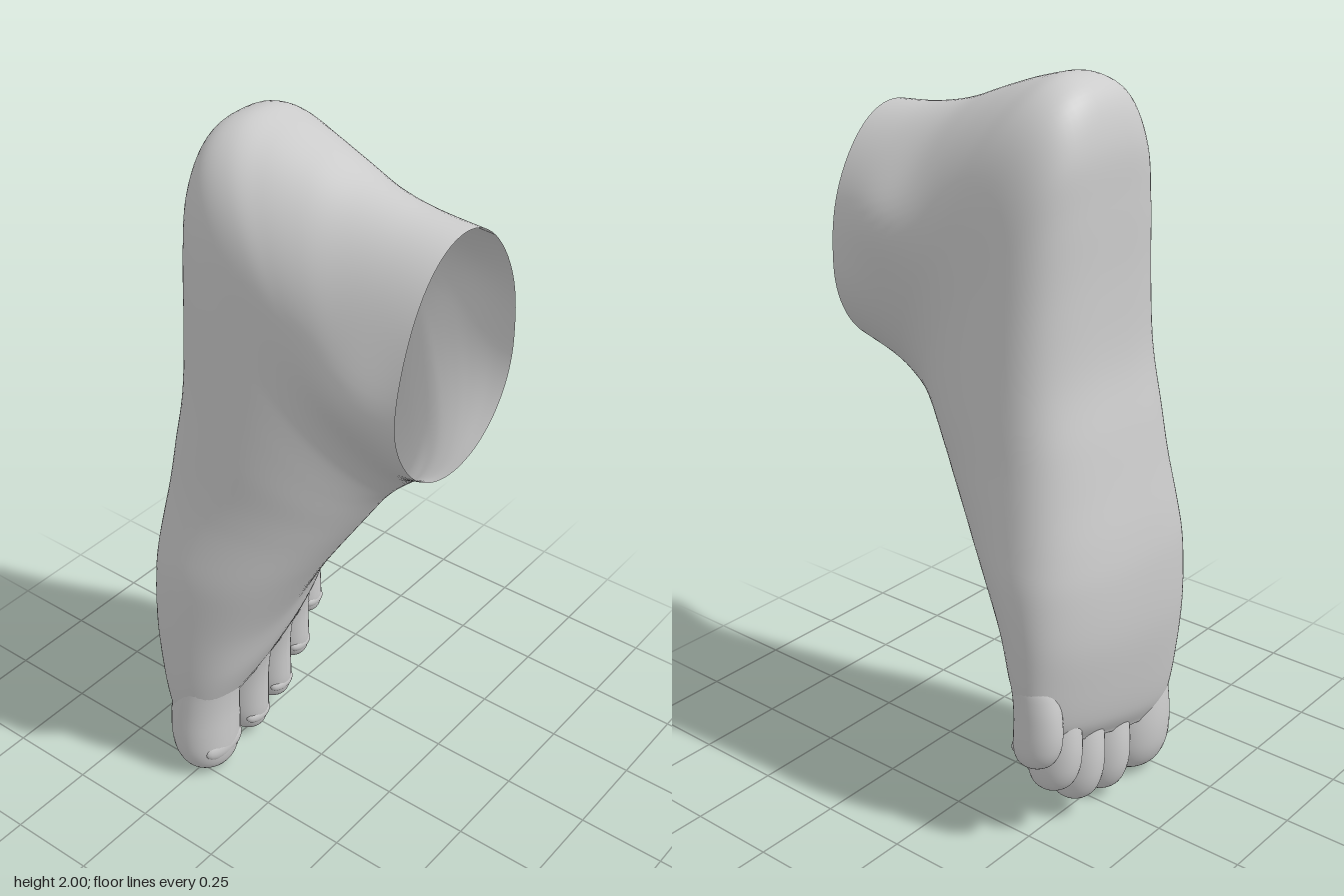
import * as THREE from 'three';

const skin = new THREE.MeshStandardMaterial({ color: 0xcccccc, side: THREE.DoubleSide });

// Section ends from toe roots to ankle opening: instep y, z and sole/heel y, z
const PROFILE = [
  [0.33, -0.175, 0.25, -0.335], [0.38, -0.145, 0.31, -0.365], [0.47, -0.10, 0.43, -0.39],
  [0.60, -0.05, 0.58, -0.41], [0.74, 0.025, 0.74, -0.412], [0.84, 0.085, 0.86, -0.40],
  [0.92, 0.135, 1.00, -0.375], [0.98, 0.172, 1.13, -0.352], [1.03, 0.203, 1.30, -0.32],
  [1.065, 0.228, 1.50, -0.31], [1.09, 0.25, 1.70, -0.31], [1.11, 0.27, 1.85, -0.305],
  [1.127, 0.289, 1.96, -0.265], [1.143, 0.307, 2.00, -0.19], [1.157, 0.325, 1.985, -0.10],
  [1.171, 0.345, 1.945, 0.02], [1.184, 0.365, 1.90, 0.14], [1.197, 0.387, 1.872, 0.27],
  [1.21, 0.41, 1.86, 0.41],
];

// Every second section: min x, max x, widest place, sole squareness,
// instep squareness, sideways shift of the instep ridge, slant across the toes
const SHAPE = [
  [-0.295, 0.29, 0.42, 2.6, 2.0, -0.10, 0.28], [-0.322, 0.325, 0.41, 2.6, 1.95, -0.11, 0.2],
  [-0.322, 0.333, 0.40, 2.8, 1.9, -0.09, 0.06], [-0.285, 0.308, 0.39, 3.0, 1.9, -0.06, 0],
  [-0.27, 0.283, 0.39, 3.2, 1.9, -0.03, 0], [-0.257, 0.26, 0.42, 3.2, 1.95, -0.01, 0],
  [-0.247, 0.25, 0.45, 2.7, 2.0, 0, 0], [-0.24, 0.245, 0.50, 2.1, 2.0, 0, 0],
  [-0.24, 0.24, 0.55, 1.9, 2.0, 0, 0], [-0.245, 0.24, 0.60, 2.0, 2.0, 0, 0],
];

// Smooth interpolation of a table row
function sample(table, t) {
  const last = table.length - 1;
  const i = Math.min(Math.floor(t), last - 1), f = t - i;
  const row = (k) => table[Math.max(0, Math.min(last, k))];
  return row(i).map((b, c) => {
    const a = row(i - 1)[c], d = row(i + 1)[c], e = row(i + 2)[c];
    return b + 0.5 * f * (d - a + f * (2 * a - 5 * b + 4 * d - e + f * (3 * (b - d) + e - a)));
  });
}

const power = (v, n) => Math.sign(v) * Math.pow(Math.abs(v), 2 / n);
const bump = (y, z, cy, cz, r) => Math.exp(-((y - cy) ** 2 + (z - cz) ** 2) / (r * r));

// Foot and ankle: sections that fan round from level to upright
function footGeometry() {
  const rings = 110, sides = 80, capRings = 6;
  const pos = [], index = [];

  function addRing(t, scale, drop) {
    const [dy, dz, py, pz] = sample(PROFILE, t);
    const [left, right, m, nSole, nTop, ridge, slant] = sample(SHAPE, t / 2);
    const cx = (left + right) / 2, half = (right - left) / 2;
    for (let j = 0; j < sides; j++) {
      const a = (j / sides) * Math.PI * 2;
      const n = Math.cos(a) > 0 ? nTop : nSole;
      const c = power(Math.cos(a), n) * scale, s = power(Math.sin(a), n) * scale;
      const k = m + c * (c > 0 ? 1 - m : m);
      let x = cx + half * s + (c > 0 ? ridge * c * c : 0);
      const y = py + (dy - py) * k + slant * x - drop;
      const z = pz + (dz - pz) * k;
      // ankle bones
      if (s > 0) x += 0.03 * Math.min(1, s * 1.5) * bump(y, z, 1.63, 0.26, 0.12);
      else x -= 0.03 * Math.min(1, -s * 1.5) * bump(y, z, 1.48, 0.28, 0.13);
      pos.push(x, y, z);
    }
  }

  // rounded end between the toes
  for (let i = 0; i < capRings; i++) {
    const a = (i / capRings) * Math.PI / 2;
    addRing(0, Math.max(0.001, Math.sin(a)), 0.03 * Math.cos(a));
  }
  for (let i = 0; i <= rings; i++) addRing((i / rings) * (PROFILE.length - 1), 1, 0);

  for (let i = 0; i < rings + capRings; i++) {
    for (let j = 0; j < sides; j++) {
      const a = i * sides + j, b = i * sides + (j + 1) % sides;
      index.push(a, b, a + sides, b, b + sides, a + sides);
    }
  }
  const g = new THREE.BufferGeometry();
  g.setAttribute('position', new THREE.Float32BufferAttribute(pos, 3));
  g.setIndex(index);
  g.computeVertexNormals();
  return g;
}

// Toe outline: rounded pad, slight neck, root buried in the foot
const toeProfile = new THREE.SplineCurve([
  [0, 0], [0.4, 0.015], [0.76, 0.075], [0.95, 0.18], [1, 0.32],
  [0.98, 0.5], [0.95, 0.68], [0.9, 0.85], [0.6, 1],
].map(([r, h]) => new THREE.Vector2(r, h))).getPoints(32);
toeProfile.forEach((p) => { p.x = Math.max(0, p.x); });

function makeToe(name, { x, tip, root, z, w, d, lean, turn }) {
  const toe = new THREE.Group();
  toe.name = name;
  const length = root - tip;
  const g = new THREE.LatheGeometry(toeProfile, 32);
  g.scale(w, length, d);
  // the toe curls back at the pad and forward towards its root
  const p = g.attributes.position;
  for (let i = 0; i < p.count; i++) {
    const h = p.getY(i) / length;
    p.setZ(i, p.getZ(i) + lean * h * h - 0.08 * h * (1 - h));
    p.setX(i, p.getX(i) + turn * h);
  }
  g.computeVertexNormals();
  const body = new THREE.Mesh(g, skin);
  body.name = 'toeBody';

  // nail curved like the toe, standing just proud of it
  const nail = new THREE.Mesh(new THREE.SphereGeometry(1, 24, 14), skin);
  nail.name = 'toenail';
  nail.scale.set(w * 0.7, w * 0.42, d * 0.3);
  nail.position.set(turn * 0.2, length * 0.06 + w * 0.65, d * 0.68 - 0.012);
  toe.add(body, nail);
  toe.position.set(x, tip, z);
  return toe;
}

export function createModel() {
  const model = new THREE.Group();
  model.name = 'foot';
  const foot = new THREE.Mesh(footGeometry(), skin);
  foot.name = 'footAndAnkle';
  model.add(foot);

  const toes = {
    bigToe: { x: -0.215, tip: 0.005, root: 0.48, z: -0.248, w: 0.108, d: 0.094, lean: 0.04, turn: 0.005 },
    secondToe: { x: -0.042, tip: 0.02, root: 0.48, z: -0.255, w: 0.07, d: 0.087, lean: 0.06, turn: -0.01 },
    thirdToe: { x: 0.083, tip: 0.055, root: 0.49, z: -0.262, w: 0.066, d: 0.083, lean: 0.05, turn: -0.02 },
    fourthToe: { x: 0.187, tip: 0.14, root: 0.52, z: -0.27, w: 0.062, d: 0.078, lean: 0.04, turn: -0.015 },
    littleToe: { x: 0.27, tip: 0.255, root: 0.56, z: -0.28, w: 0.056, d: 0.07, lean: 0.02, turn: 0 },
  };
  for (const [name, spec] of Object.entries(toes)) model.add(makeToe(name, spec));
  return model;
}
